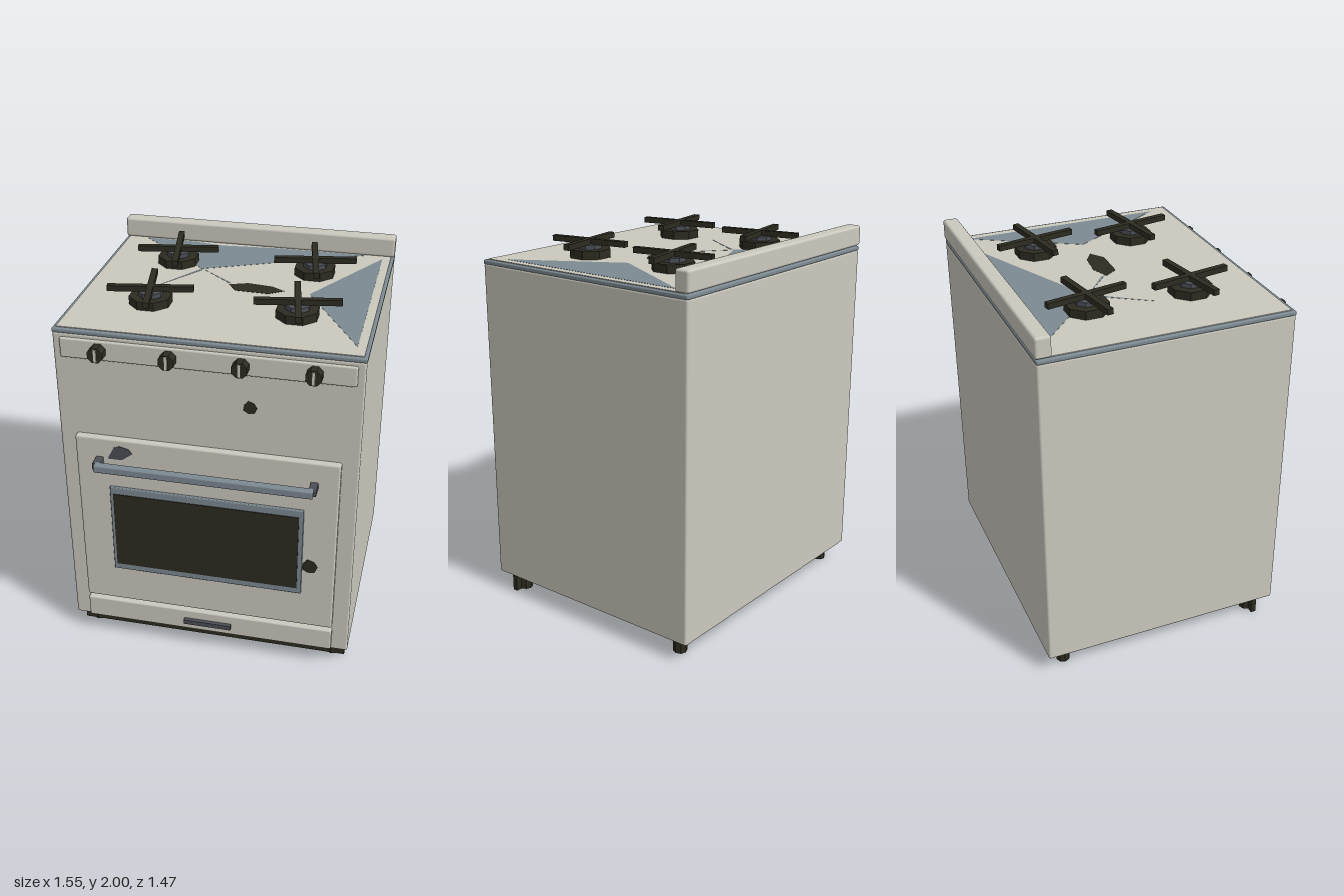
import * as THREE from 'three';
import { RoundedBoxGeometry } from 'three/addons/geometries/RoundedBoxGeometry.js';

const mat = (name, color, opts = {}) => {
  const m = new THREE.MeshStandardMaterial({ color, ...opts });
  m.name = name;
  return m;
};

export function createModel() {
  const cream = mat('cream enamel', 0xcbc9be);
  const slate = mat('slate metal', 0x7d8a92);
  const black = mat('black iron', 0x2d2c21, { flatShading: true });
  const charcoal = mat('charcoal metal', 0x4b4e56, { flatShading: true });

  const root = new THREE.Group();
  root.name = 'stove';

  const add = (name, geo, material, parent = root) => {
    const mesh = new THREE.Mesh(geo, material);
    mesh.name = name;
    parent.add(mesh);
    return mesh;
  };
  // box given by its limits on each axis; r > 0 rounds the edges
  const box = (name, [x0, x1], [y0, y1], [z0, z1], material, r = 0, parent = root) => {
    const s = [x1 - x0, y1 - y0, z1 - z0];
    const geo = r ? new RoundedBoxGeometry(...s, 2, r) : new THREE.BoxGeometry(...s);
    const mesh = add(name, geo, material, parent);
    mesh.position.set((x0 + x1) / 2, (y0 + y1) / 2, (z0 + z1) / 2);
    return mesh;
  };
  const outline = (pts) => new THREE.Shape(pts.map(([x, y]) => new THREE.Vector2(x, y)));
  // thin painted mark on a front-facing surface
  const frontMark = (name, pts, z, material) => {
    const geo = new THREE.ExtrudeGeometry(outline(pts), { depth: 0.004, bevelEnabled: false });
    add(name, geo, material).position.z = z;
  };
  // thin painted mark on the cooktop, points given as (x, z)
  const topMark = (name, pts, material) => {
    const geo = new THREE.ExtrudeGeometry(outline(pts.map(([x, z]) => [x, -z])), { depth: 0.002, bevelEnabled: false });
    geo.rotateX(-Math.PI / 2);
    add(name, geo, material).position.y = 1.889;
  };

  // cabinet and cooktop
  box('body', [-0.773, 0.773], [0.1, 1.866], [-0.73, 0.6], cream, 0.012);
  box('cooktopRim', [-0.775, 0.775], [1.862, 1.886], [-0.73, 0.6], slate, 0.008);
  box('cooktop', [-0.757, 0.757], [1.88, 1.89], [-0.7, 0.58], cream);
  box('backguard', [-0.775, 0.775], [1.89, 2], [-0.735, -0.653], cream, 0.014);

  // worn patches on the cooktop
  topMark('wornPatchBack', [[-0.65, -0.655], [-0.23, -0.27], [0.62, -0.655], [0.1, -0.65], [-0.2, -0.625], [-0.36, -0.65]], slate);
  topMark('wornPatchSide', [[0.713, -0.62], [0.395, -0.06], [0.713, 0.49]], slate);
  topMark('scratchLeft', [[-0.235, -0.27], [-0.42, 0.02], [-0.225, -0.255]], slate);
  topMark('scratchRight', [[-0.23, -0.275], [-0.03, -0.1], [-0.04, -0.125]], slate);
  topMark('burntPatch', [[-0.04, -0.095], [0.055, -0.132], [0.19, -0.115], [0.262, -0.07], [0.185, -0.018], [0.01, -0.025]], black);

  // burners with crossed grates
  for (const x of [-0.379, 0.379]) for (const z of [-0.337, 0.215]) {
    const burner = new THREE.Group();
    burner.name = 'burner';
    burner.position.set(x, 1.888, z);
    root.add(burner);
    const ring = (name, r, h, y, material) => {
      const geo = new THREE.CylinderGeometry(r, r, h, 8);
      geo.rotateY(Math.PI / 8);
      add(name, geo, material, burner).position.y = y;
    };
    ring('burnerBase', 0.112, 0.046, 0.023, black);
    ring('burnerCap', 0.064, 0.024, 0.057, charcoal);
    for (let i = 0; i < 2; i++) {
      const bar = box('grateBar', [-0.22, 0.22], [0.067, 0.097], [-0.016, 0.016], black, 0, burner);
      bar.rotation.y = Math.PI / 18 + i * Math.PI / 2;
    }
  }

  // control panel and knobs
  box('controlPanel', [-0.735, 0.735], [1.738, 1.845], [0.59, 0.614], cream, 0.01);
  for (const x of [-0.535, -0.18, 0.18, 0.535]) {
    const geo = new THREE.CylinderGeometry(0.042, 0.042, 0.06, 8);
    geo.rotateY(Math.PI / 8);
    geo.rotateX(Math.PI / 2);
    add('knob', geo, black).position.set(x, 1.792, 0.638);
    box('knobPointer', [x - 0.008, x + 0.008], [1.758, 1.826], [0.666, 0.674], cream);
  }

  // oven door, window and handle
  box('ovenDoor', [-0.685, 0.685], [0.272, 1.307], [0.59, 0.635], cream, 0.012);
  box('windowFrame', [-0.512, 0.512], [0.493, 1.022], [0.62, 0.65], slate, 0.005);
  box('windowGlass', [-0.494, 0.49], [0.53, 0.982], [0.648, 0.654], black);
  box('doorHandle', [-0.565, 0.565], [1.155, 1.198], [0.69, 0.732], slate, 0.008);
  for (const s of [-1, 1]) {
    box('handleMount', s < 0 ? [-0.578, -0.538] : [0.538, 0.578], [1.157, 1.196], [0.63, 0.708], charcoal, 0.006);
  }

  // storage drawer
  box('drawer', [-0.685, 0.685], [0.12, 0.25], [0.59, 0.632], cream, 0.01);
  box('drawerPull', [-0.132, 0.132], [0.17, 0.197], [0.63, 0.654], charcoal);

  // chips and stains on the front
  const chip = (x, y, r, z) => {
    const radii = [1, 0.9, 1.02, 0.85, 1, 0.92, 1.05];
    const pts = radii.map((k, i) => {
      const a = (i / radii.length) * Math.PI * 2;
      return [x + r * k * Math.cos(a), y + r * k * Math.sin(a)];
    });
    frontMark('enamelChip', pts, z, black);
  };
  chip(0.22, 1.56, 0.037, 0.599);
  chip(0.55, 0.67, 0.044, 0.634);
  frontMark('doorStain', [[-0.515, 1.19], [-0.48, 1.258], [-0.45, 1.27], [-0.4, 1.258], [-0.383, 1.232], [-0.44, 1.19]], 0.634, charcoal);

  // toe kick and feet
  box('toeKick', [-0.752, 0.752], [0, 0.1], [0.49, 0.518], black);
  for (const x of [-0.68, 0.68]) for (const z of [-0.623, 0.49]) {
    add('foot', new THREE.CylinderGeometry(0.037, 0.037, 0.11, 8), black).position.set(x, 0.055, z);
  }

  return root;
}
